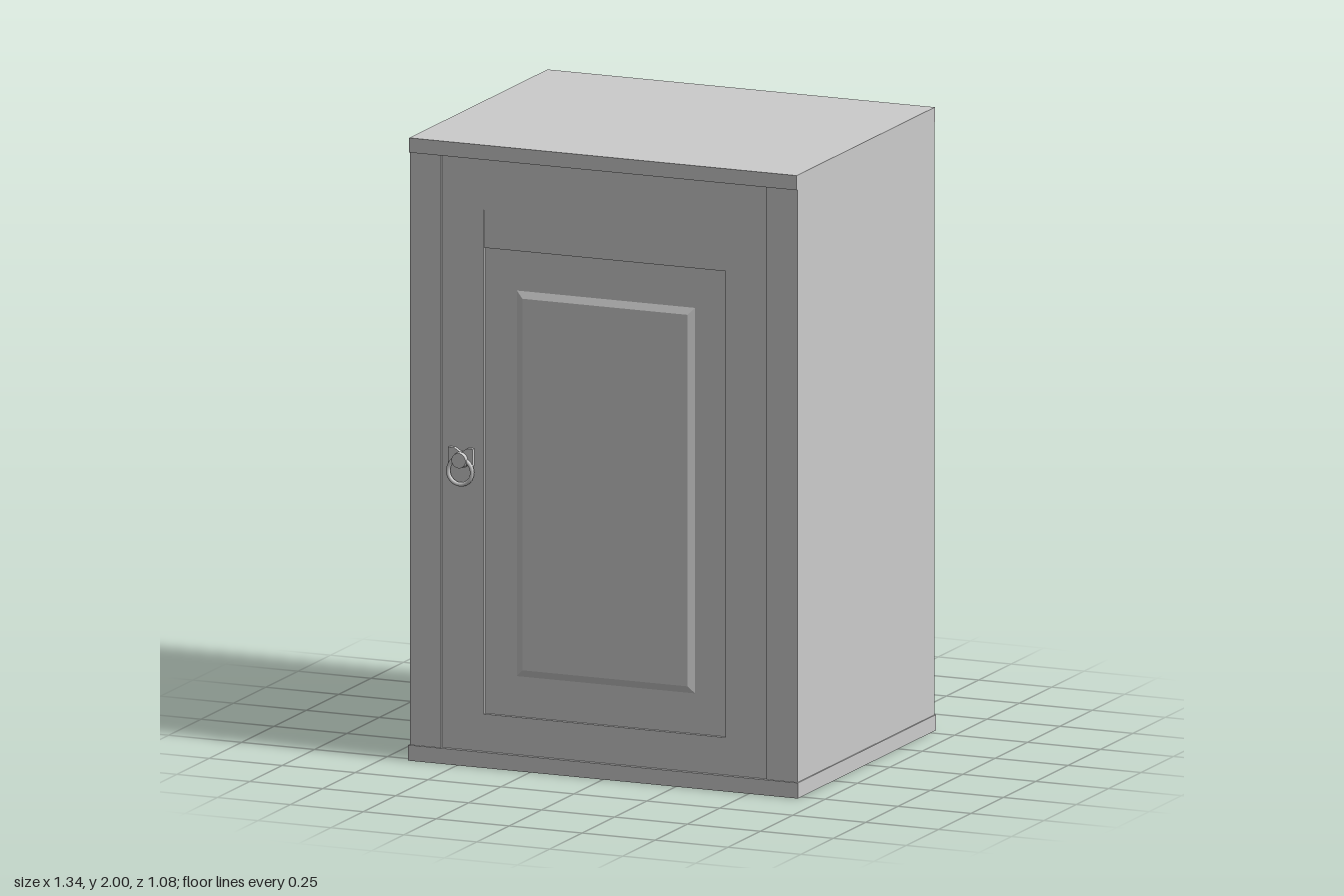
import * as THREE from 'three';

const grey = new THREE.MeshStandardMaterial({ color: 0xcccccc });
grey.name = 'grey';

// Rectangle outline given by its edges
function rect(x0, x1, y0, y1, Type = THREE.Shape) {
  const s = new Type();
  s.moveTo(x0, y0);
  s.lineTo(x1, y0);
  s.lineTo(x1, y1);
  s.lineTo(x0, y1);
  s.closePath();
  return s;
}

export function createModel() {
  const model = new THREE.Group();
  model.name = 'cabinet';

  const add = (name, geometry, x = 0, y = 0, z = 0, parent = model) => {
    const mesh = new THREE.Mesh(geometry, grey);
    mesh.name = name;
    mesh.position.set(x, y, z);
    parent.add(mesh);
    return mesh;
  };
  // Box given by its limits on each axis
  const box = (name, x0, x1, y0, y1, z0, z1, parent) =>
    add(name, new THREE.BoxGeometry(x1 - x0, y1 - y0, z1 - z0),
      (x0 + x1) / 2, (y0 + y1) / 2, (z0 + z1) / 2, parent);
  // Flat board with a rectangular opening
  const frame = (name, outer, inner, z0, z1, parent) => {
    const s = rect(...outer);
    s.holes.push(rect(...inner, THREE.Path));
    return add(name, new THREE.ExtrudeGeometry(s, { depth: z1 - z0, bevelEnabled: false }), 0, 0, z0, parent);
  };

  // Carcass with a slightly projecting plinth and top
  box('carcass', -0.664, 0.664, 0.05, 1.953, -0.54, 0.49);
  box('plinth', -0.668, 0.668, 0, 0.05, -0.541, 0.526);
  box('topBoard', -0.664, 0.664, 1.953, 2, -0.542, 0.526);

  // Stiles either side of the door opening
  for (const s of [-1, 1]) {
    box(s > 0 ? 'leftStile' : 'rightStile', Math.min(s * 0.558, s * 0.664), Math.max(s * 0.558, s * 0.664),
      0.05, 1.953, 0.49, 0.521);
  }

  // Inset door: frame, upper rail step and raised panel
  const door = new THREE.Group();
  door.name = 'door';
  model.add(door);
  frame('doorFrame', [-0.558, 0.558, 0.05, 1.953], [-0.415, 0.415, 0.17, 1.789], 0.485, 0.513, door);
  box('upperRail', -0.415, 0.415, 1.667, 1.789, 0.485, 0.511, door);
  box('doorPanel', -0.415, 0.415, 0.17, 1.667, 0.485, 0.502, door);
  add('raisedField', new THREE.ExtrudeGeometry(rect(-0.283, 0.283, 0.322, 1.515), {
    depth: 0.002, bevelEnabled: true, bevelSegments: 1, bevelSize: 0.025, bevelThickness: 0.01,
  }), 0, 0, 0.499, door);

  // Ring pull: notched plate, knob and hanging ring
  const pull = new THREE.Group();
  pull.name = 'ringPull';
  pull.position.set(-0.488, 0, 0.513);
  model.add(pull);
  const plate = new THREE.Shape();
  [[-0.042, 1.02], [-0.042, 0.965], [0.042, 0.965], [0.042, 1.02], [0.022, 1.02], [0, 1.006], [-0.022, 1.02]]
    .forEach(([x, y], i) => (i ? plate.lineTo(x, y) : plate.moveTo(x, y)));
  add('pullPlate', new THREE.ExtrudeGeometry(plate, { depth: 0.014, bevelEnabled: false }), 0, 0, 0, pull);
  const knob = new THREE.CylinderGeometry(0.024, 0.027, 0.029, 24).rotateX(Math.PI / 2);
  add('pullKnob', knob, 0, 0.982, 0.0145, pull);
  add('pullRing', new THREE.TorusGeometry(0.041, 0.007, 10, 36), 0, 0.945, 0.016, pull);

  return model;
}
